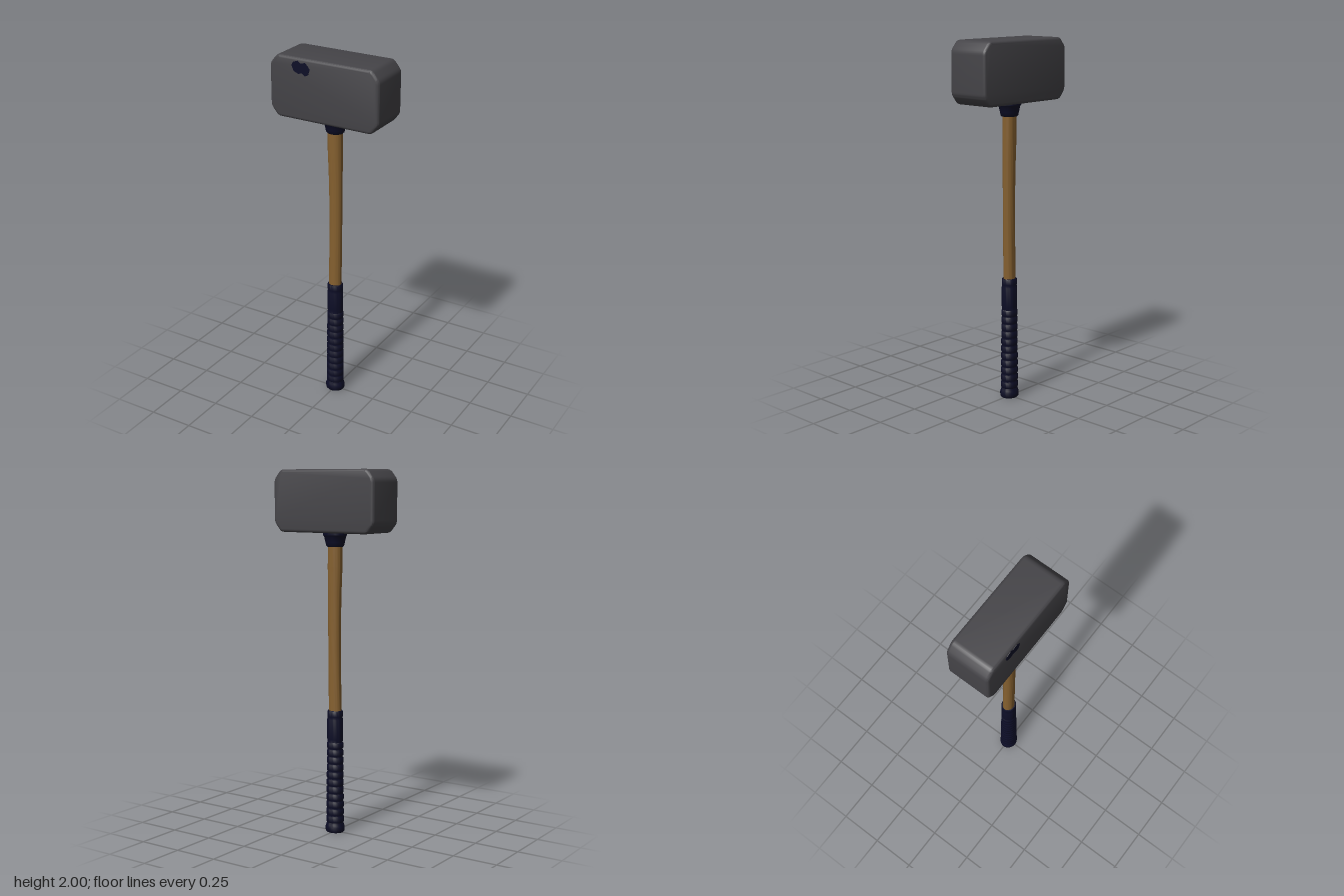
import * as THREE from 'three';
import { toCreasedNormals } from 'three/addons/utils/BufferGeometryUtils.js';

const material = (name, color) => new THREE.MeshStandardMaterial({ name, color });

// Oval turned part from [radius, y] pairs; depth is the z to x ratio
function turned(name, profile, depth, mat, bend = () => 0) {
  const points = profile.map(([r, y]) => new THREE.Vector2(r, y));
  const geometry = new THREE.LatheGeometry(points, 32);
  const p = geometry.attributes.position;
  for (let i = 0; i < p.count; i++) {
    p.setXYZ(i, p.getX(i) + bend(p.getY(i)), p.getY(i), p.getZ(i) * depth);
  }
  const mesh = new THREE.Mesh(toCreasedNormals(geometry, 0.7), mat);
  mesh.name = name;
  return mesh;
}

// Chamfered block outline with softened corners
function headShape() {
  const w = 0.321, b = 1.665, t = 2, cx = 0.043, cy = 0.052;
  const corners = [
    [-w + cx, b], [w - cx, b], [w, b + cy], [w, t - cy],
    [w - cx, t], [-w + cx, t], [-w, t - cy], [-w, b + cy],
  ].map(([x, y]) => new THREE.Vector2(x, y));
  const shape = new THREE.Shape();
  corners.forEach((c, i) => {
    const prev = corners[(i + 7) % 8], next = corners[(i + 1) % 8];
    const a = c.clone().add(prev.clone().sub(c).setLength(0.018));
    const d = c.clone().add(next.clone().sub(c).setLength(0.018));
    if (i === 0) shape.moveTo(a.x, a.y);
    else shape.lineTo(a.x, a.y);
    shape.quadraticCurveTo(c.x, c.y, d.x, d.y);
  });
  shape.closePath();
  return shape;
}

export function createModel() {
  const group = new THREE.Group();
  const steel = material('dark steel', 0x454448);
  const wood = material('wood', 0x85602f);
  const rubber = material('navy rubber', 0x0c0d26);

  // Heavy head
  const bevel = 0.016, halfDepth = 0.123;
  const headGeometry = new THREE.ExtrudeGeometry(headShape(), {
    depth: 2 * (halfDepth - bevel), bevelEnabled: true, bevelSize: bevel,
    bevelThickness: bevel, bevelOffset: -bevel, bevelSegments: 4, curveSegments: 4,
  });
  headGeometry.translate(0, 0, bevel - halfDepth);
  const head = new THREE.Mesh(toCreasedNormals(headGeometry, 0.6), steel);
  head.name = 'head';
  group.add(head);

  // Irregular dark patch on the front of the head
  const patchOutline = [
    [-0.186, 1.956], [-0.176, 1.975], [-0.15, 1.985], [-0.132, 1.972],
    [-0.105, 1.979], [-0.09, 1.965], [-0.077, 1.948], [-0.087, 1.918],
    [-0.105, 1.909], [-0.124, 1.922], [-0.145, 1.916], [-0.172, 1.927],
  ].map(([x, y]) => new THREE.Vector2(x, y));
  const patchGeometry = new THREE.ExtrudeGeometry(new THREE.Shape(patchOutline), {
    depth: 0.004, bevelEnabled: false,
  });
  const patch = new THREE.Mesh(patchGeometry, rubber);
  patch.name = 'frontPatch';
  patch.position.z = halfDepth - 0.002;
  group.add(patch);

  // Collar under the head
  group.add(turned('collar', [
    [0, 1.588], [0.044, 1.588], [0.05, 1.594], [0.054, 1.612],
    [0.062, 1.645], [0.067, 1.65], [0.067, 1.675], [0, 1.675],
  ], 0.9, rubber));

  // Slightly curved, oval wooden shaft
  const bend = (y) => -0.002 + 0.006 * Math.sin(Math.PI * THREE.MathUtils.clamp((y - 0.65) / 0.95, 0, 1));
  group.add(turned('shaft', [
    [0, 0.6], [0.038, 0.6], [0.037, 0.75], [0.036, 0.9], [0.036, 1.05], [0.037, 1.2],
    [0.039, 1.35], [0.042, 1.48], [0.042, 1.68], [0, 1.68],
  ], 0.84, wood, bend));

  // Ribbed grip with a flared butt
  const profile = [[0, 0], [0.049, 0], [0.054, 0.006], [0.055, 0.03], [0.05, 0.042]];
  const ribs = 11, pitch = 0.042;
  for (let i = 0; i < ribs; i++) {
    const y = 0.055 + i * pitch, r = 0.0505 - i * 0.0004;
    profile.push([r - 0.004, y], [r, y + 0.006], [r, y + 0.031], [r - 0.004, y + 0.037]);
  }
  profile.push([0.045, 0.53], [0.045, 0.64], [0.042, 0.65], [0.044, 0.657],
    [0.044, 0.684], [0.041, 0.69], [0, 0.69]);
  group.add(turned('grip', profile, 0.92, rubber));

  return group;
}
